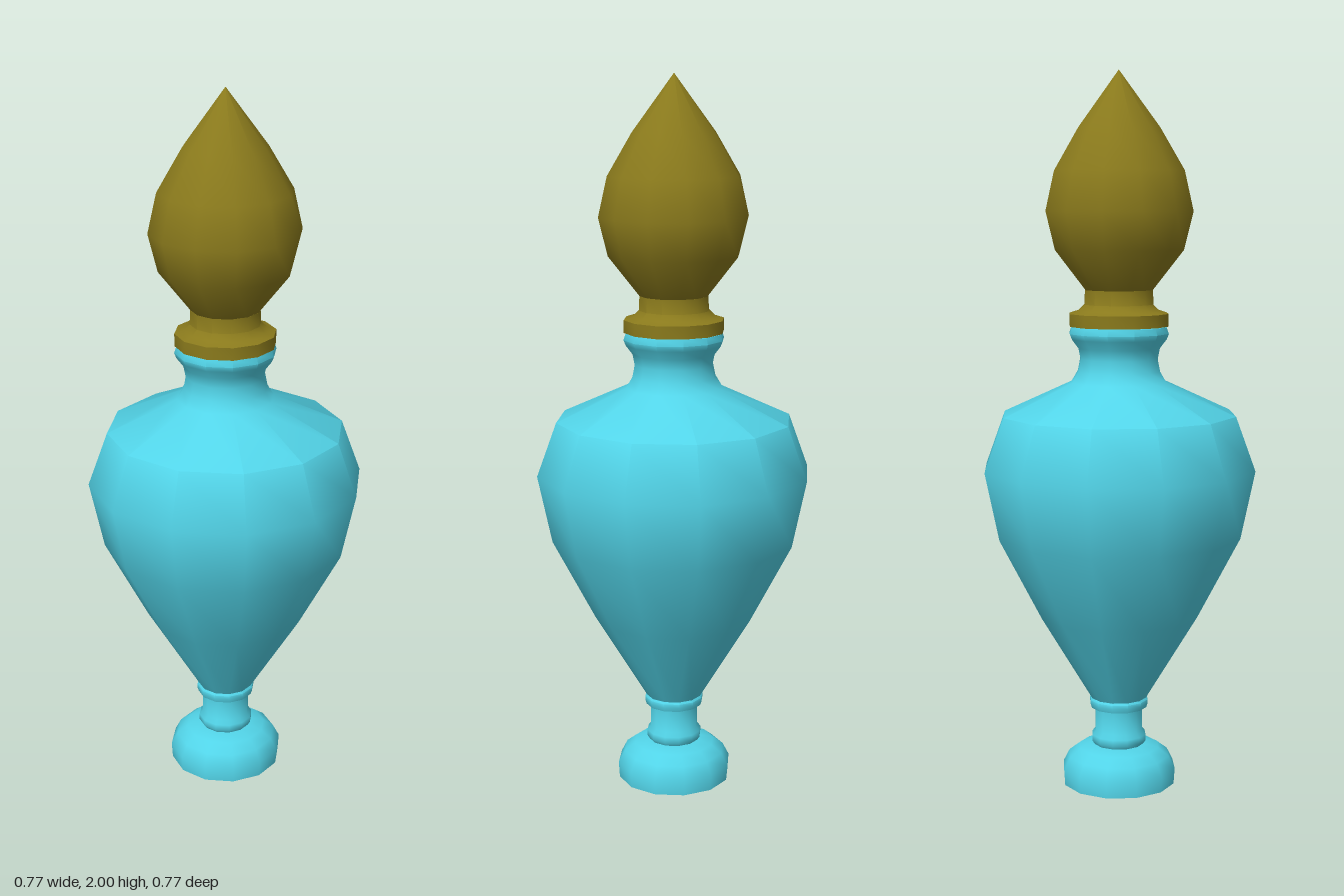
import * as THREE from 'three';
import { toCreasedNormals } from 'three/addons/utils/BufferGeometryUtils.js';

const SIDES = 12;

// Turned part from a bottom-to-top profile of [radius, height]
function turned(name, profile, material) {
  const points = profile.map(([r, y]) => new THREE.Vector2(r, y));
  const geometry = toCreasedNormals(new THREE.LatheGeometry(points, SIDES), 0.85);
  const mesh = new THREE.Mesh(geometry, material);
  mesh.name = name;
  return mesh;
}

export function createModel() {
  const glass = new THREE.MeshStandardMaterial({ color: 0x52d4e8 });
  const gold = new THREE.MeshStandardMaterial({ color: 0x8a7a1c });
  const model = new THREE.Group();
  model.name = 'bottle';

  // Domed foot
  model.add(turned('foot', [
    [0, 0], [0.16, 0], [0.163, 0.045], [0.145, 0.08], [0.115, 0.103], [0.075, 0.112], [0, 0.112],
  ], glass));

  // Stem with a ring at each end
  model.add(turned('stem', [
    [0.07, 0.11], [0.078, 0.122], [0.078, 0.14], [0.068, 0.152], [0.068, 0.217],
    [0.08, 0.22], [0.084, 0.232], [0.084, 0.243], [0.077, 0.25],
  ], glass));

  // Urn-shaped body, neck and lip
  model.add(turned('body', [
    [0.077, 0.245], [0.225, 0.49], [0.345, 0.72], [0.385, 0.91], [0.33, 1.06],
    [0.135, 1.15], [0.117, 1.18], [0.11, 1.215], [0.116, 1.245], [0.135, 1.27],
    [0.141, 1.285], [0.135, 1.303], [0, 1.305],
  ], glass));

  // Stopper collar
  model.add(turned('stopperCollar', [
    [0, 1.305], [0.14, 1.305], [0.14, 1.34], [0.115, 1.348], [0.098, 1.365], [0.096, 1.405], [0, 1.405],
  ], gold));

  // Pointed bud on top
  model.add(turned('stopperBud', [
    [0, 1.4], [0.094, 1.403], [0.182, 1.515], [0.208, 1.62], [0.183, 1.73], [0.115, 1.845], [0, 2],
  ], gold));

  return model;
}
